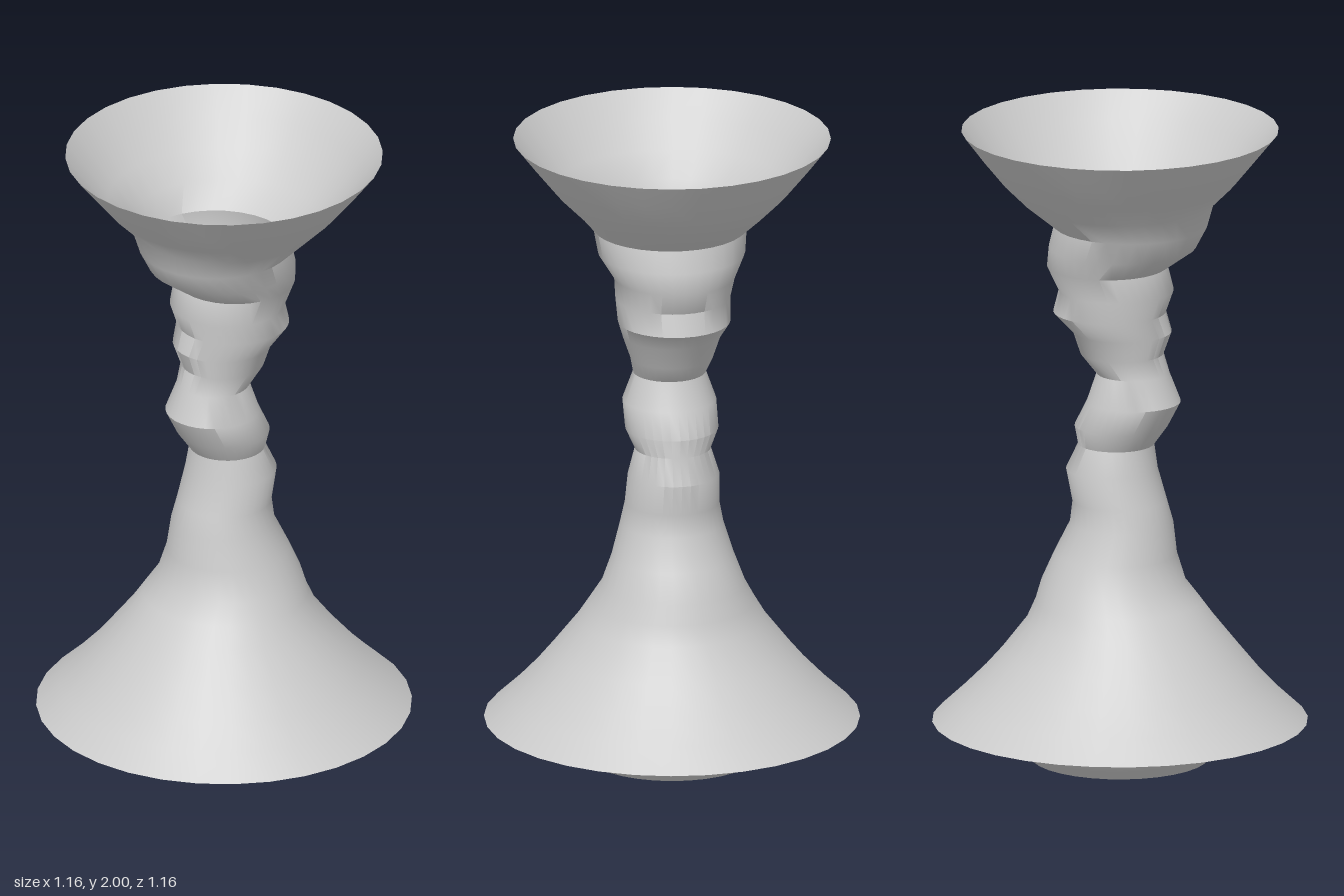
import * as THREE from 'three';
import { toCreasedNormals } from 'three/addons/utils/BufferGeometryUtils.js';

const SIDES = 32;

// Loft of horizontal circles; each ring is [y, reach towards -x, reach towards +x], top to bottom
function loft(rings) {
  const pos = [], index = [];
  rings.forEach(([y, left, right]) => {
    const r = (left + right) / 2, cx = (right - left) / 2;
    for (let i = 0; i < SIDES; i++) {
      const a = (i / SIDES) * Math.PI * 2;
      pos.push(cx + r * Math.cos(a), y, r * Math.sin(a));
    }
  });
  for (let j = 0; j < rings.length - 1; j++) {
    for (let i = 0; i < SIDES; i++) {
      const a = j * SIDES + i, b = j * SIDES + (i + 1) % SIDES;
      const c = a + SIDES, d = b + SIDES;
      index.push(a, b, c, b, d, c);
    }
  }
  const g = new THREE.BufferGeometry();
  g.setAttribute('position', new THREE.Float32BufferAttribute(pos, 3));
  g.setIndex(index);
  return toCreasedNormals(g, 0.65);
}

export function createModel() {
  const group = new THREE.Group();
  group.name = 'candlestick';
  const material = new THREE.MeshStandardMaterial({ color: 0xcccccc, side: THREE.DoubleSide });
  const add = (name, rings) => {
    const mesh = new THREE.Mesh(loft(rings), material);
    mesh.name = name;
    group.add(mesh);
  };

  // Flared cup, uneven stem and wide skirt in one open shell
  add('stemShell', [
    [2.0, 0.49, 0.49],
    [1.92, 0.425, 0.43],
    [1.84, 0.36, 0.365],
    [1.77, 0.29, 0.295],
    [1.7, 0.272, 0.202],
    [1.63, 0.235, 0.22],
    [1.565, 0.145, 0.228],
    [1.49, 0.165, 0.19],
    [1.42, 0.14, 0.208],
    [1.36, 0.16, 0.145],
    [1.29, 0.135, 0.122],
    [1.23, 0.155, 0.07],
    [1.14, 0.19, 0.1],
    [1.06, 0.148, 0.14],
    [1.0, 0.105, 0.13],
    [0.92, 0.115, 0.168],
    [0.82, 0.145, 0.147],
    [0.75, 0.165, 0.155],
    [0.65, 0.175, 0.205],
    [0.56, 0.202, 0.245],
    [0.5, 0.25, 0.262],
    [0.44, 0.295, 0.288],
    [0.34, 0.375, 0.365],
    [0.26, 0.44, 0.435],
    [0.19, 0.505, 0.505],
    [0.12, 0.58, 0.58],
  ]);

  // Open bowl-shaped foot under the skirt
  add('foot', [
    [0.175, 0.355, 0.355],
    [0.12, 0.365, 0.365],
    [0.07, 0.335, 0.335],
    [0.03, 0.3, 0.3],
    [0, 0.275, 0.275],
  ]);
  return group;
}
